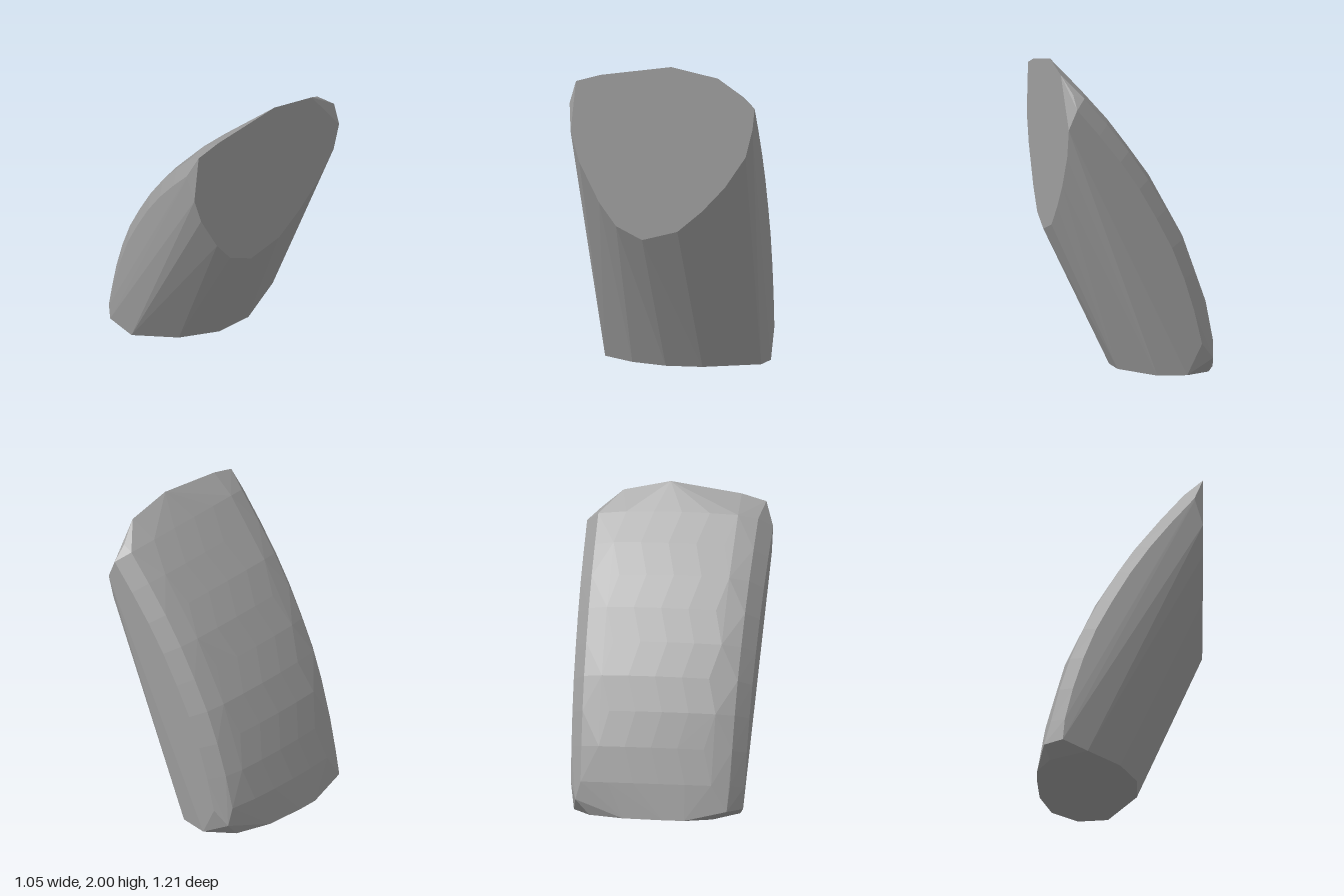
import * as THREE from 'three';
import { ConvexGeometry } from 'three/addons/geometries/ConvexGeometry.js';

// Sloping faceted block: flat base at y = 0, flat end face at x = 0.525,
// bulging back between them.
export function createModel() {
  const stone = new THREE.MeshStandardMaterial({ color: 0xa0a0a0 });
  stone.name = 'grey stone';
  const END = 0.525;
  const points = [];
  const add = (x, y, z) => points.push(new THREE.Vector3(x, y, z));

  // base outline: x, z
  [[-0.21, 0.51], [0, 0.29], [0.11, 0.05], [0.11, -0.19], [-0.07, -0.535], [-0.26, -0.56],
    [-0.43, -0.43], [-0.51, -0.2], [-0.53, 0.06], [-0.53, 0.2], [-0.45, 0.37]]
    .forEach(([x, z]) => add(x, 0, z));

  // end face outline: z, y
  [[-0.07, 2], [-0.375, 1.935], [-0.6, 1.61], [-0.555, 1.43], [-0.42, 1.23], [-0.27, 1.07],
    [-0.11, 0.935], [0.12, 0.875], [0.29, 0.96], [0.4, 1.11], [0.53, 1.37], [0.585, 1.56],
    [0.55, 1.89], [0.39, 1.935]]
    .forEach(([z, y]) => add(END, y, z));

  // clipped corners
  add(-0.49, 0.06, 0.47);
  add(-0.37, 0.06, 0.556);
  add(-0.44, 0.1, -0.52);
  add(0.47, 1.72, 0.602);
  add(0.475, 1.825, -0.51);

  // bulging back: rows follow the crown and drop inward towards both sides
  const crown = new THREE.CatmullRomCurve3(
    [[-0.53, 0], [-0.5, 0.2], [-0.42, 0.52], [-0.3, 0.85], [-0.17, 1.1], [0, 1.38],
      [0.2, 1.64], [0.4, 1.87], [END, 2]].map(([x, y]) => new THREE.Vector3(x, y, 0)));
  const section = [[0, 0], [0.3, 0.004], [0.6, 0.016], [0.86, 0.05], [1, 0.14]];
  const rows = 10;
  for (let i = 1; i < rows; i++) {
    const p = crown.getPointAt(i / rows);
    const t = crown.getTangentAt(i / rows);
    const half = 0.557 + 0.025 * p.y;
    const stagger = i % 2 ? 0.03 : -0.03;
    for (const [f, drop] of section) {
      for (const side of f ? [-1, 1] : [1]) {
        const x = p.x + t.y * drop, y = p.y - t.x * drop;
        const z = side * f * half + (f < 0.8 ? stagger : 0);
        if (x < END - 0.04 && y > 0.05) add(x, y, z);
      }
    }
  }

  const block = new THREE.Mesh(new ConvexGeometry(points), stone);
  block.name = 'slopingBlock';
  const group = new THREE.Group();
  group.name = 'facetedBlock';
  group.add(block);
  return group;
}
